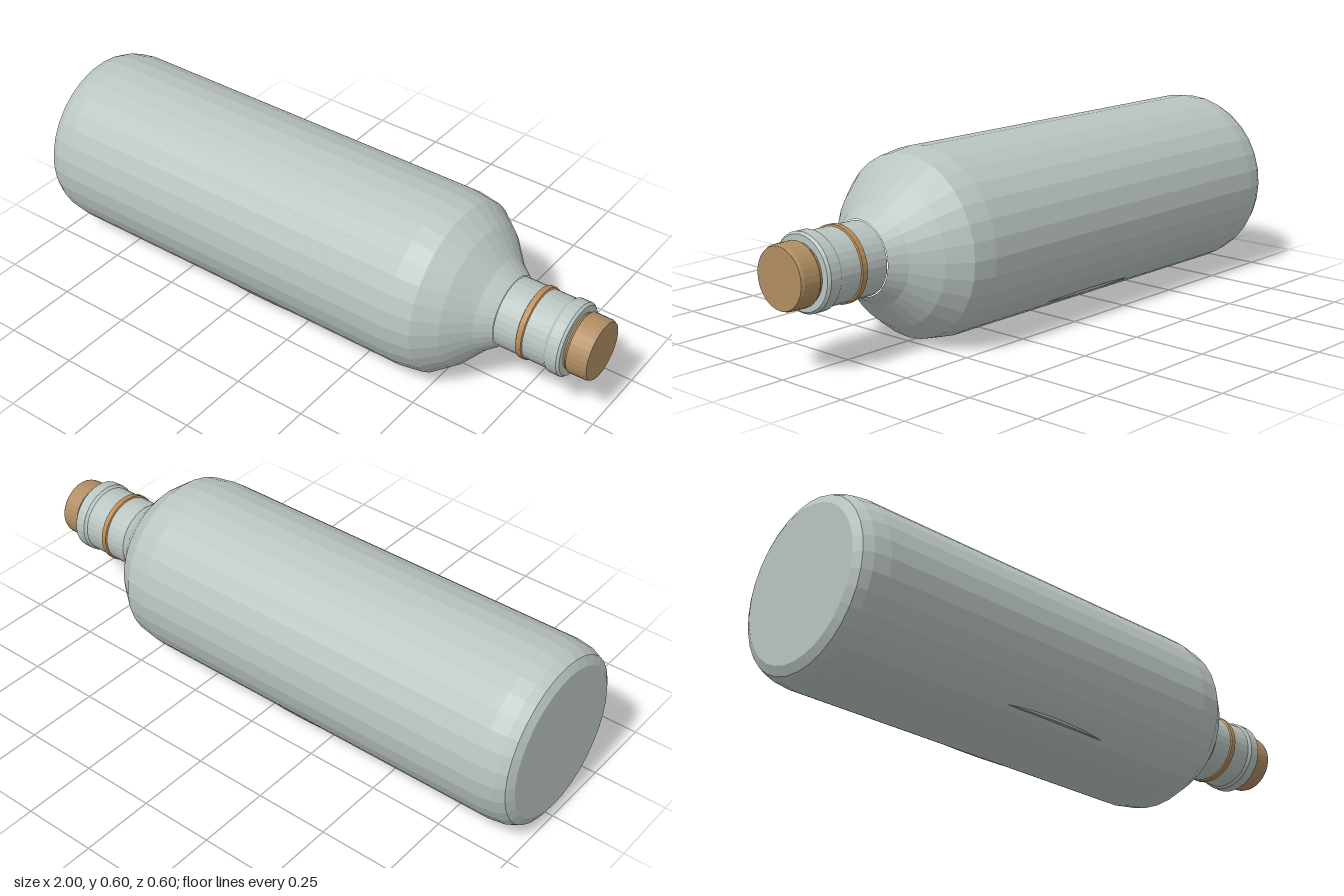
import * as THREE from 'three';

const SIDES = 32;
const AXIS_HEIGHT = 0.3;

export function createModel() {
  const group = new THREE.Group();
  group.name = 'corkedBottle';

  const paint = (name, color) => {
    const m = new THREE.MeshStandardMaterial({ color, flatShading: true });
    m.name = name;
    return m;
  };
  const glass = paint('pale grey green glass', 0xb9c4c0);
  const cork = paint('cork brown', 0xb08d63);
  const bandBrown = paint('band tan', 0xba8c56);
  const fillGrey = paint('contents grey', 0xa3a9a5);

  // Turns a profile of [x, radius] pairs around the lengthwise axis
  const turned = (name, profile, material) => {
    const points = profile.map(([x, r]) => new THREE.Vector2(r, x));
    const geometry = new THREE.LatheGeometry(points, SIDES);
    geometry.rotateZ(-Math.PI / 2);
    const mesh = new THREE.Mesh(geometry, material);
    mesh.name = name;
    mesh.position.y = AXIS_HEIGHT;
    group.add(mesh);
  };

  // Rounded base, long body and sloping shoulder
  turned('body', [
    [-1, 0], [-1, 0.25], [-0.985, 0.278], [-0.955, 0.292], [-0.9, 0.3],
    [0.42, 0.3], [0.5, 0.288], [0.57, 0.235], [0.64, 0.155], [0.69, 0.118],
  ], glass);

  // Straight neck
  turned('neck', [[0.69, 0.115], [0.87, 0.115]], glass);

  // Lip with bevelled edges, closing in on the stopper
  turned('lip', [
    [0.865, 0.115], [0.875, 0.122], [0.912, 0.122], [0.92, 0.115], [0.92, 0.09],
  ], glass);

  // Cord around the neck
  turned('neckBand', [
    [0.768, 0.114], [0.771, 0.12], [0.789, 0.12], [0.792, 0.114],
  ], bandBrown);

  // Cork stopper
  turned('stopper', [
    [0.87, 0], [0.87, 0.093], [0.925, 0.093], [0.933, 0.1], [0.99, 0.099], [1, 0.095], [1, 0],
  ], cork);

  // Flat oval of contents that just breaks through the lower sides
  const contents = new THREE.Mesh(new THREE.CylinderGeometry(1, 1, 0.025, 64), fillGrey);
  contents.name = 'contents';
  contents.scale.set(0.6, 1, 0.192);
  contents.position.set(-0.15, 0.0745, 0);
  group.add(contents);

  return group;
}
